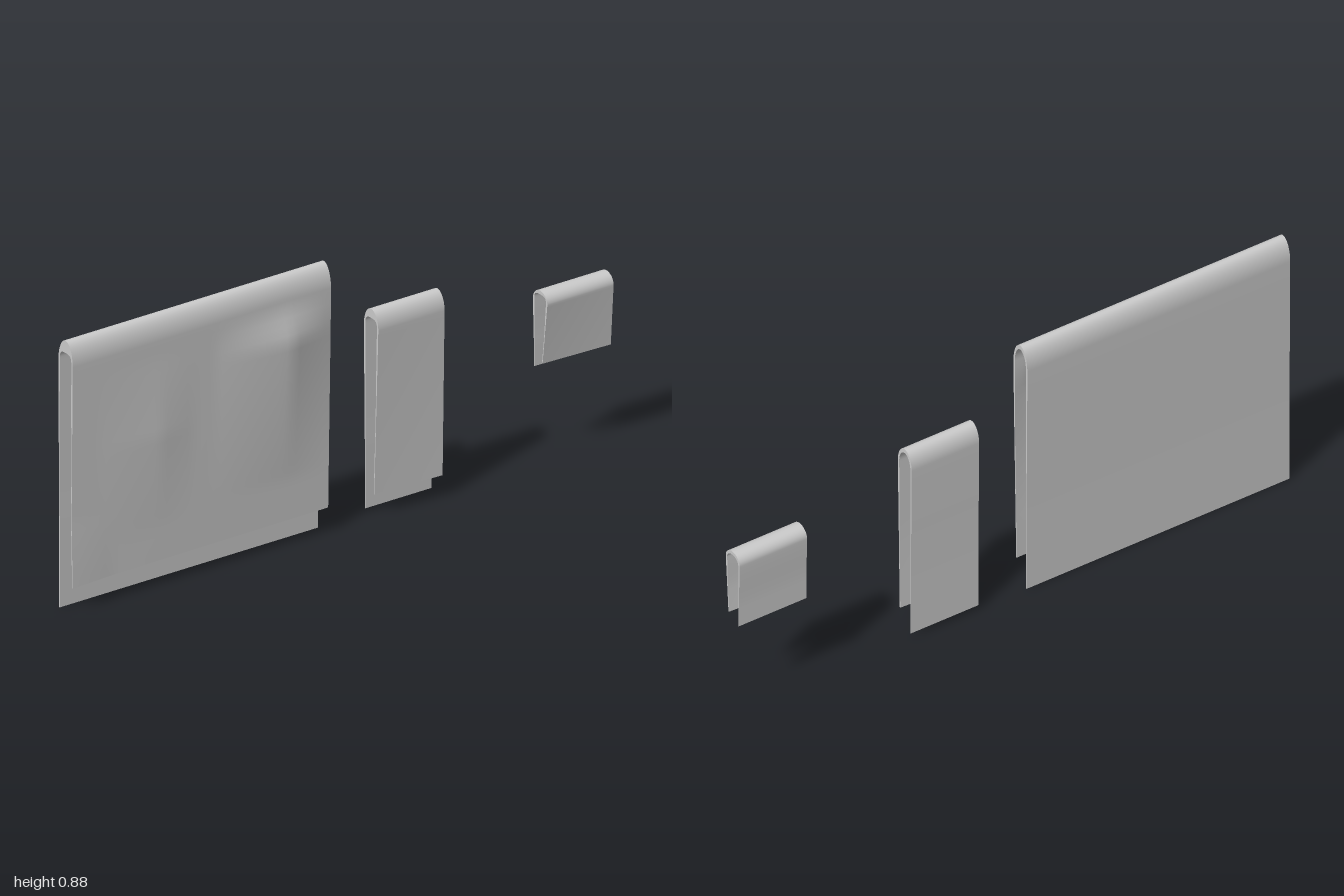
import * as THREE from 'three';
import { mergeGeometries } from 'three/addons/utils/BufferGeometryUtils.js';

const { lerp, smoothstep } = THREE.MathUtils;
const CENTRE = -0.013, HALF = 0.036;

// smooth grid whose vertices follow fn(u, v); faces point along u x v
function sheet(fn, nu, nv) {
  const g = new THREE.PlaneGeometry(1, 1, nu, nv);
  const p = g.attributes.position;
  for (let i = 0; i < p.count; i++) {
    p.setXYZ(i, ...fn(p.getX(i) + 0.5, p.getY(i) + 0.5));
  }
  g.computeVertexNormals();
  return g;
}

// straight-sided peak: 0 at a, 1 at b, 0 at c
function tent(x, a, b, c) {
  return Math.max(0, Math.min((x - a) / (b - a), (c - x) / (c - b)));
}

// one cloth folded over a line: two thin hanging panels joined by an arch
function cloth(o) {
  const spring = o.top - o.arch;

  // point on the section: t runs up the -x panel, over the arch, down the +x panel
  function point(t, s, inner) {
    const z = lerp(o.back, o.front, s);
    const crown = lerp(o.crownBack, o.crownFront, s);
    if (t > 0.35 && t < 0.65) {
      const a = Math.PI * (1 - (t - 0.35) / 0.3);
      const c = Math.cos(a), n = Math.sin(a);
      if (!inner) return [CENTRE + HALF * c, spring + o.arch * n, z];
      // the underside is flatter where the crown is thick
      const e = lerp(1, 0.6, s);
      return [CENTRE + (HALF - 0.007) * Math.sign(c) * Math.abs(c) ** e,
        spring + (o.arch - crown) * n ** e, z];
    }
    const left = t <= 0.35;
    const d = left ? 1 - t / 0.35 : (t - 0.65) / 0.35;
    const y = lerp(spring, left ? o.longHem : o.shortHem, d);
    const thick = lerp(0.007, 0.003, smoothstep(d, 0, 0.6));
    if (left) {
      const x = CENTRE - HALF + 0.004 * smoothstep(d, 0, 0.7);
      return [x + (inner ? thick : 0), y, z];
    }
    const x = CENTRE + HALF - lerp(o.leanBack, o.leanFront, s) * d + o.billow(y, z);
    return [x - (inner ? thick : 0), y, z];
  }

  const mix = (t, s, k) => {
    const a = point(t, s, true), b = point(t, s, false);
    return a.map((v, i) => lerp(v, b[i], k));
  };
  const N = 80, M = 38;
  const geometry = mergeGeometries([
    sheet((u, v) => point(u, 1 - v, false), N, M), // outside
    sheet((u, v) => point(u, v, true), N, M),      // inside
    sheet((u, v) => mix(u, 1, v), N, 1),           // front edge
    sheet((u, v) => mix(u, 0, 1 - v), N, 1),       // back edge
    sheet((u, v) => mix(0, v, 1 - u), 1, M),       // long hem
    sheet((u, v) => mix(1, v, u), 1, M),           // short hem
  ]);
  const mesh = new THREE.Mesh(geometry, new THREE.MeshStandardMaterial({
    color: 0xcccccc, side: THREE.DoubleSide,
  }));
  mesh.name = o.name;
  return mesh;
}

export function createModel() {
  const group = new THREE.Group();
  group.name = 'hangingCloths';

  // large sheet, billowing outward near its back edge
  group.add(cloth({
    name: 'largeCloth', back: 0.045, front: 1, top: 0.885, arch: 0.075,
    crownBack: 0.015, crownFront: 0.04, longHem: 0, shortHem: 0.085,
    leanBack: 0.014, leanFront: 0.008,
    billow: (y, z) => 0.027 * tent(z, 0.04, 0.2, 0.47) * tent(y, 0.22, 0.69, 0.79)
      + 0.008 * tent(z, 0.55, 0.67, 0.9) * tent(y, 0.2, 0.5, 0.75)
      + 0.008 * tent(z, 0.85, 1, 1.15) * tent(y, -0.2, 0.085, 0.3),
  }));

  // narrow towel
  group.add(cloth({
    name: 'narrowCloth', back: -0.375, front: -0.13, top: 0.68, arch: 0.06,
    crownBack: 0.014, crownFront: 0.03, longHem: 0.015, shortHem: 0.077,
    leanBack: 0.01, leanFront: 0.02, billow: () => 0,
  }));

  // small cloth, its short panel curling inward
  group.add(cloth({
    name: 'smallCloth', back: -1, front: -0.755, top: 0.568, arch: 0.035,
    crownBack: 0.012, crownFront: 0.012, longHem: 0.31, shortHem: 0.333,
    leanBack: 0.014, leanFront: 0.024, billow: () => 0,
  }));

  return group;
}
